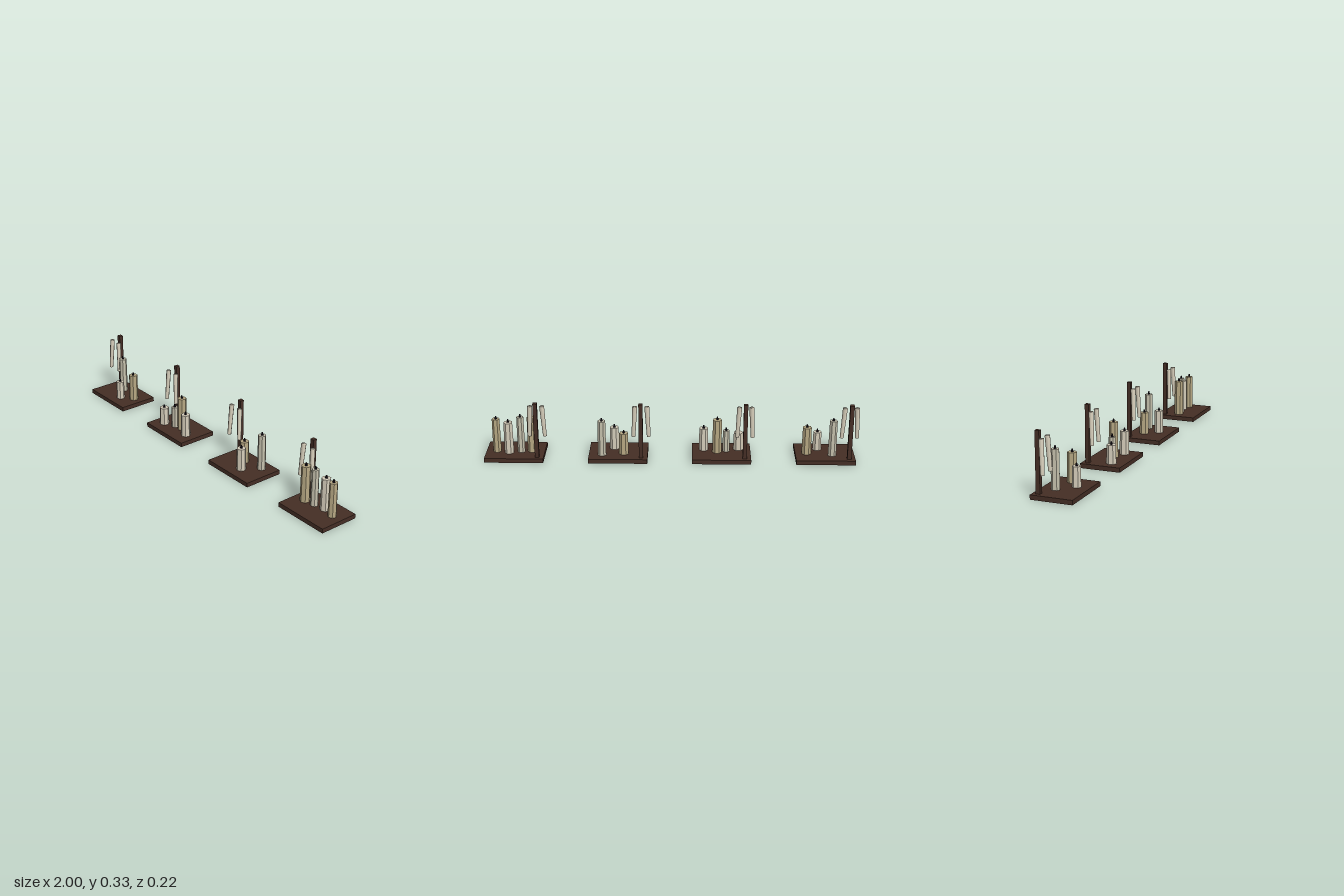
import * as THREE from 'three';
import { mergeVertices } from 'three/addons/utils/BufferGeometryUtils.js';

const mat = (name, color, flatShading = true) => {
  const m = new THREE.MeshStandardMaterial({ color, flatShading });
  m.name = name;
  return m;
};

export function createModel() {
  const wood = mat('dark wood', 0x452e25);
  const cream = mat('cream wax', 0xd6cebb);
  const grey = mat('grey wax', 0xc6c1ad);
  const tan = mat('tan wax', 0xb8a984);
  const wickMat = mat('black wick', 0x17101a);
  const softCream = mat('hanging wax', 0xdcd3bf, false);

  const root = new THREE.Group();
  root.name = 'candleStands';
  const BOARD = 0.024;

  const add = (parent, name, geo, material, x, y, z) => {
    const mesh = new THREE.Mesh(geo, material);
    mesh.name = name;
    mesh.position.set(x, y, z);
    parent.add(mesh);
    return mesh;
  };

  // Tapered stick with normals rounded over its ends
  const stickGeo = () => {
    const g = new THREE.CylinderGeometry(0.0135, 0.0105, 0.174, 7);
    g.deleteAttribute('normal');
    g.deleteAttribute('uv');
    const merged = mergeVertices(g);
    merged.computeVertexNormals();
    return merged;
  };
  const hangingGeo = stickGeo();
  const wickGeo = new THREE.CylinderGeometry(0.0035, 0.007, 0.016, 6);

  // Hanging candle, leaning from its top point to its bottom point
  const hang = (stand, side) => {
    const top = new THREE.Vector3(-0.124 + side * 0.032, 0.302, -0.045);
    const bottom = new THREE.Vector3(-0.124 + side * 0.041, 0.128, -0.037);
    const mid = top.clone().add(bottom).multiplyScalar(0.5);
    const mesh = add(stand, 'hangingCandle', hangingGeo, softCream, mid.x, mid.y, mid.z);
    mesh.quaternion.setFromUnitVectors(new THREE.Vector3(0, 1, 0), top.sub(bottom).normalize());
  };

  // Each candle: x, z, top height, radius, wax
  const stands = [
    { x: -0.824, candles: [
      [-0.861, -0.034, 0.225, 0.022, grey],
      [-0.786, 0.041, 0.128, 0.023, cream],
      [-0.725, -0.010, 0.176, 0.025, tan]] },
    { x: -0.268, candles: [
      [-0.360, 0.037, 0.123, 0.026, cream],
      [-0.294, 0.013, 0.144, 0.019, grey],
      [-0.245, 0.000, 0.212, 0.025, tan],
      [-0.173, 0.031, 0.149, 0.025, cream]] },
    { x: 0.286, candles: [
      [0.256, -0.029, 0.144, 0.025, tan],
      [0.310, 0.038, 0.148, 0.025, cream],
      [0.372, -0.048, 0.221, 0.022, grey]] },
    { x: 0.842, candles: [
      [0.751, -0.005, 0.223, 0.025, tan],
      [0.810, -0.013, 0.226, 0.020, grey],
      [0.874, -0.025, 0.200, 0.025, cream],
      [0.941, -0.009, 0.212, 0.022, tan]] },
  ];

  for (const { x, candles } of stands) {
    const stand = new THREE.Group();
    stand.name = 'candleStand';
    stand.position.x = x;
    root.add(stand);

    // Base board and upright post
    add(stand, 'baseBoard', new THREE.BoxGeometry(0.316, BOARD, 0.22), wood, 0, BOARD / 2, 0);
    add(stand, 'post', new THREE.BoxGeometry(0.022, 0.308, 0.022), wood, -0.124, 0.178, -0.079);
    for (const side of [-1, 1]) hang(stand, side);

    // Standing candles with wicks
    for (const [cx, cz, top, r, wax] of candles) {
      const h = top - BOARD;
      add(stand, 'candle', new THREE.CylinderGeometry(r * 0.97, r * 1.04, h, 7), wax, cx - x, BOARD + h / 2, cz);
      add(stand, 'wick', wickGeo, wickMat, cx - x, top + 0.008, cz);
    }
  }
  return root;
}
